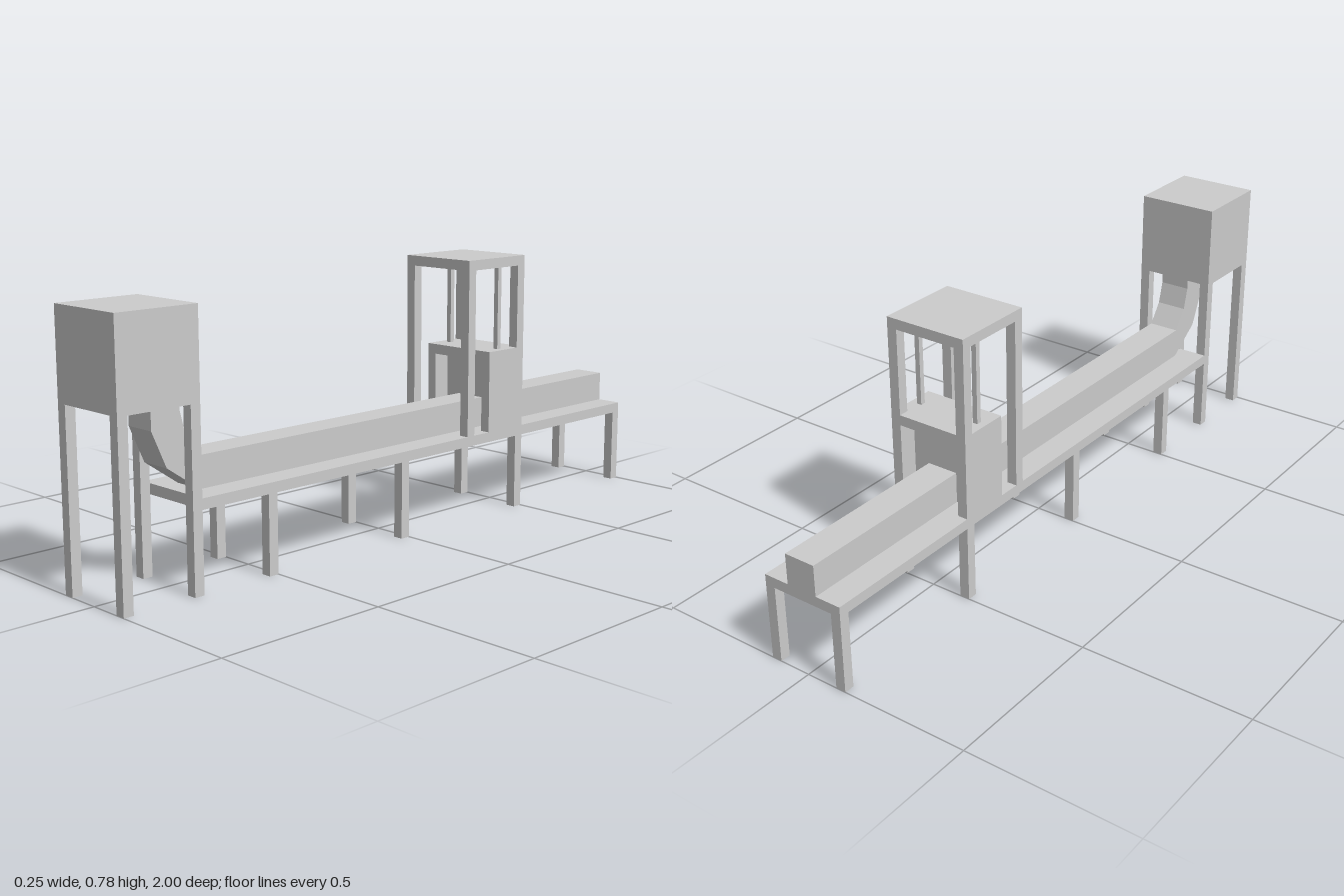
import * as THREE from 'three';

const mat = new THREE.MeshStandardMaterial({ color: 0xcccccc, flatShading: true });

// Box given by its extents along each axis
function box(parent, name, [x0, x1], [y0, y1], [z0, z1]) {
  const mesh = new THREE.Mesh(new THREE.BoxGeometry(x1 - x0, y1 - y0, z1 - z0), mat);
  mesh.position.set((x0 + x1) / 2, (y0 + y1) / 2, (z0 + z1) / 2);
  mesh.name = name;
  parent.add(mesh);
}

// Mirrored pair of boxes on the left and right
function pair(parent, name, [x0, x1], y, z) {
  box(parent, name + 'Left', [x0, x1], y, z);
  box(parent, name + 'Right', [-x1, -x0], y, z);
}

function group(parent, name) {
  const g = new THREE.Group();
  g.name = name;
  parent.add(g);
  return g;
}

export function createModel() {
  const model = new THREE.Group();
  model.name = 'conveyorLine';
  const W = 0.125, T = 0.03, edge = [W - T, W];

  // Long table on four pairs of legs
  const table = group(model, 'table');
  box(table, 'tableTop', [-W, W], [0.225, 0.255], [-1, 0.75]);
  for (const z of [-1, -0.5, 0, 0.5]) pair(table, 'tableLeg', edge, [0, 0.225], [z, z + T]);

  // Hopper on four tall legs
  const hopper = group(model, 'hopper');
  box(hopper, 'hopperBox', [-W, W], [0.5, 0.75], [0.75, 1]);
  for (const z of [0.75, 0.97]) pair(hopper, 'hopperLeg', edge, [0, 0.5], [z, z + T]);

  // Duct along the table, curving up into the hopper; profile in (z, y)
  const profile = [
    [-1, 0.255], [0.695, 0.255], [0.8, 0.328], [0.845, 0.43], [0.845, 0.5],
    [0.755, 0.5], [0.755, 0.47], [0.738, 0.405], [0.695, 0.345], [-1, 0.345],
  ].map(([z, y]) => new THREE.Vector2(z, y));
  const ductWidth = 0.094;
  const ductGeo = new THREE.ExtrudeGeometry(new THREE.Shape(profile), { depth: ductWidth, bevelEnabled: false });
  ductGeo.translate(0, 0, -ductWidth / 2).rotateY(-Math.PI / 2);
  const duct = new THREE.Mesh(ductGeo, mat);
  duct.name = 'duct';
  model.add(duct);

  // Tower frame with a flat roof
  const tower = group(model, 'tower');
  box(tower, 'towerRoof', [-W, W], [0.75, 0.78], [-0.5, -0.25]);
  for (const z of [-0.5, -0.28]) pair(tower, 'towerPost', edge, [0.255, 0.75], [z, z + T]);

  // Gate housing straddling the duct, with a recessed panel and lifting rods
  const gate = group(model, 'gate');
  const gateZ = [-0.5, -0.345];
  pair(gate, 'gateWall', edge, [0.255, 0.5], gateZ);
  box(gate, 'gateTop', [-W + T, W - T], [0.47, 0.5], gateZ);
  box(gate, 'gatePanel', [-W + T, W - T], [0.255, 0.47], [-0.445, -0.4]);
  pair(gate, 'liftRod', [0.088, 0.103], [0.5, 0.75], [-0.42, -0.405]);

  return model;
}
